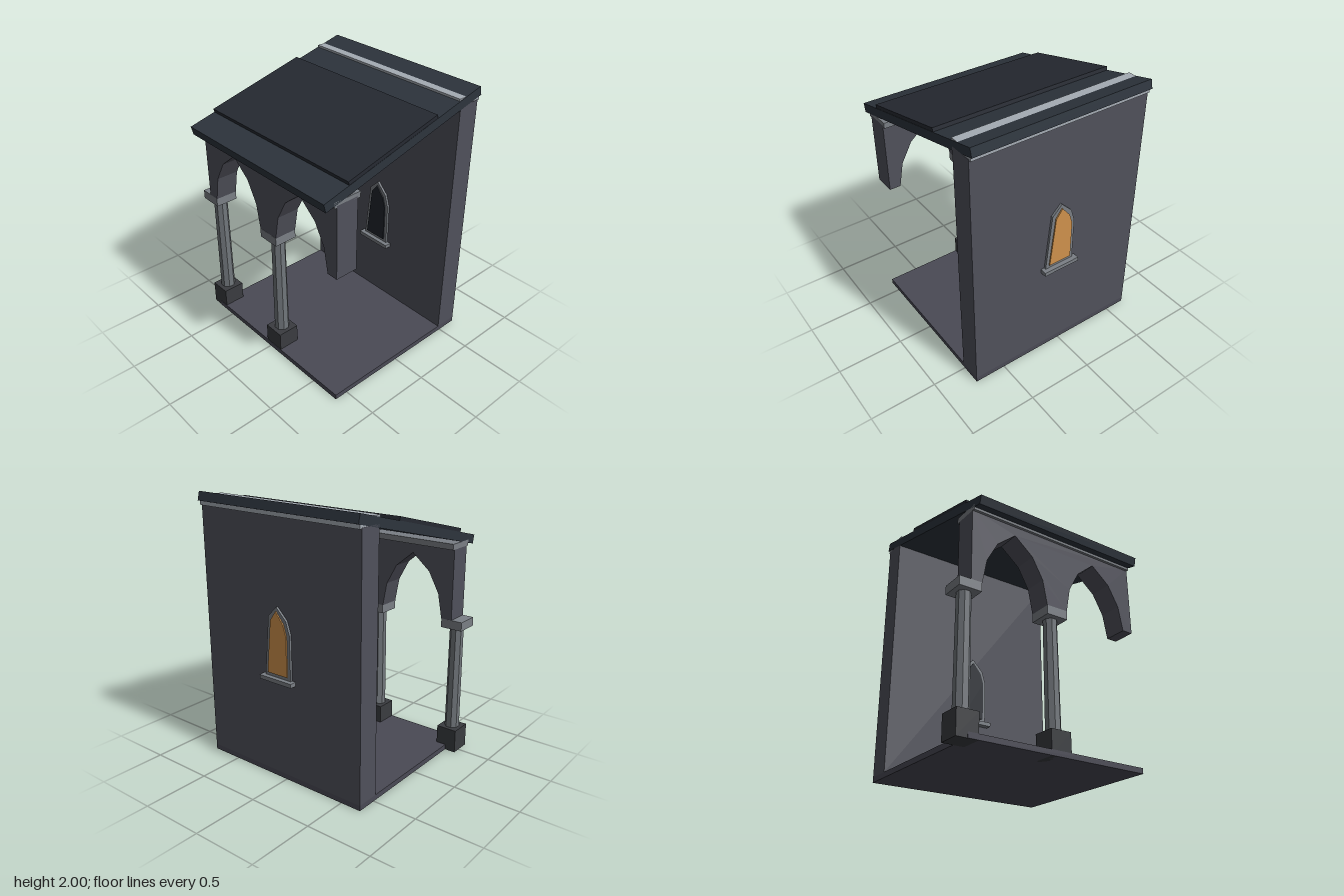
import * as THREE from 'three';

const mat = (color) => new THREE.MeshStandardMaterial({ color, flatShading: true });
const MATS = {
  wall: mat(0x50515b), floor: mat(0x4a4a55), trim: mat(0x7a7f85), shaft: mat(0x71767b),
  base: mat(0x3a3c40), ridge: mat(0xa4abb3), roof: mat(0x2d343d), panel: mat(0x262a32),
  glass: mat(0x20252d), amber: mat(0xd0924c),
};
const X0 = -0.66, X1 = 0.74, XC = 0.04, WIDTH = X1 - X0;

function add(parent, name, geometry, material) {
  const mesh = new THREE.Mesh(geometry, material);
  mesh.name = name;
  parent.add(mesh);
  return mesh;
}

// Box given by its extents on each axis
function block(parent, name, [x0, x1], [y0, y1], [z0, z1], material) {
  const mesh = add(parent, name, new THREE.BoxGeometry(x1 - x0, y1 - y0, z1 - z0), material);
  mesh.position.set((x0 + x1) / 2, (y0 + y1) / 2, (z0 + z1) / 2);
  return mesh;
}

const toPoints = (list) => list.map(([x, y]) => new THREE.Vector2(x, y));
const extrude = (shape, depth) => new THREE.ExtrudeGeometry(shape, { depth, bevelEnabled: false });

// Front wall with two pointed arches cut from its lower edge
function archWall() {
  const low = 1.055, top = 1.6;
  const half = [[-0.265, low], [-0.23, 1.24], [-0.145, 1.395]];
  const arch = [...half, [0, 1.515], ...half.map(([x, y]) => [-x, y]).reverse()];
  const outline = [[X0, low]];
  for (const cx of [-0.31, 0.39]) outline.push(...arch.map(([x, y]) => [cx + x, y]));
  outline.push([X1, low], [X1, top], [X0, top]);
  return extrude(new THREE.Shape(toPoints(outline)), 0.17);
}

// Octagonal column with square base and capital
function column(x, z) {
  const group = new THREE.Group();
  group.name = 'column';
  block(group, 'columnBase', [-0.08, 0.08], [0, 0.18], [-0.082, 0.082], MATS.base);
  const shaft = new THREE.CylinderGeometry(0.051, 0.055, 0.81, 8).rotateY(Math.PI / 8);
  add(group, 'columnShaft', shaft, MATS.shaft).position.y = 0.585;
  block(group, 'columnCapital', [-0.085, 0.085], [0.99, 1.057], [-0.086, 0.086], MATS.trim);
  group.position.set(x, 0, z);
  return group;
}

// Slightly crooked pointed window: frame, pane and sill, facing +z
function pointedWindow(name, paneMaterial) {
  const group = new THREE.Group();
  group.name = name;
  const outer = [[-0.12, 0], [0.115, 0], [0.115, 0.35], [0.085, 0.445], [0, 0.53], [-0.075, 0.455]];
  const inner = [[-0.09, 0.045], [0.09, 0.045], [0.09, 0.34], [0.065, 0.42], [0, 0.5], [-0.05, 0.43]];
  const frame = new THREE.Shape(toPoints(outer));
  frame.holes.push(new THREE.Path(toPoints(inner)));
  add(group, 'windowFrame', extrude(frame, 0.017), MATS.trim);
  add(group, 'windowPane', extrude(new THREE.Shape(toPoints(inner)), 0.026), paneMaterial);
  block(group, 'windowSill', [-0.145, 0.145], [-0.01, 0.02], [0, 0.05], MATS.trim);
  return group;
}

export function createModel() {
  const model = new THREE.Group();
  model.name = 'porch';

  // Floor and back wall
  block(model, 'floor', [X0, X1], [0, 0.04], [-0.655, 0.605], MATS.floor);
  block(model, 'backWall', [X0, X1], [0.04, 1.91], [-0.655, -0.482], MATS.wall);
  block(model, 'backWallCap', [X0 + 0.003, X1 - 0.003], [1.903, 1.965], [-0.672, -0.472], MATS.ridge);

  // Arcade
  add(model, 'archWall', archWall(), MATS.wall).position.z = 0.435;
  block(model, 'archWallCap', [X0, X1], [1.585, 1.628], [0.413, 0.625], MATS.trim);
  for (const x of [-0.662, XC]) model.add(column(x, 0.52));

  // Windows on both faces of the back wall
  const inside = pointedWindow('innerWindow', MATS.glass);
  inside.position.set(XC, 0.525, -0.482);
  const outside = pointedWindow('outerWindow', MATS.amber);
  outside.position.set(XC, 0.765, -0.655);
  outside.rotation.y = Math.PI;
  model.add(inside, outside);

  // Sloping roof slab with a raised panel
  const roof = new THREE.Group();
  roof.name = 'roof';
  block(roof, 'roofSlab', [X0, X1], [-0.033, 0.033], [-0.714, 0.714], MATS.roof);
  block(roof, 'roofPanel', [X0 + 0.002, X1 - 0.002], [0.02, 0.06], [-0.29, 0.505], MATS.panel);
  roof.position.set(0, 1.793, 0.01);
  roof.rotation.x = Math.atan2(0.35, 1.385);
  model.add(roof);

  return model;
}
